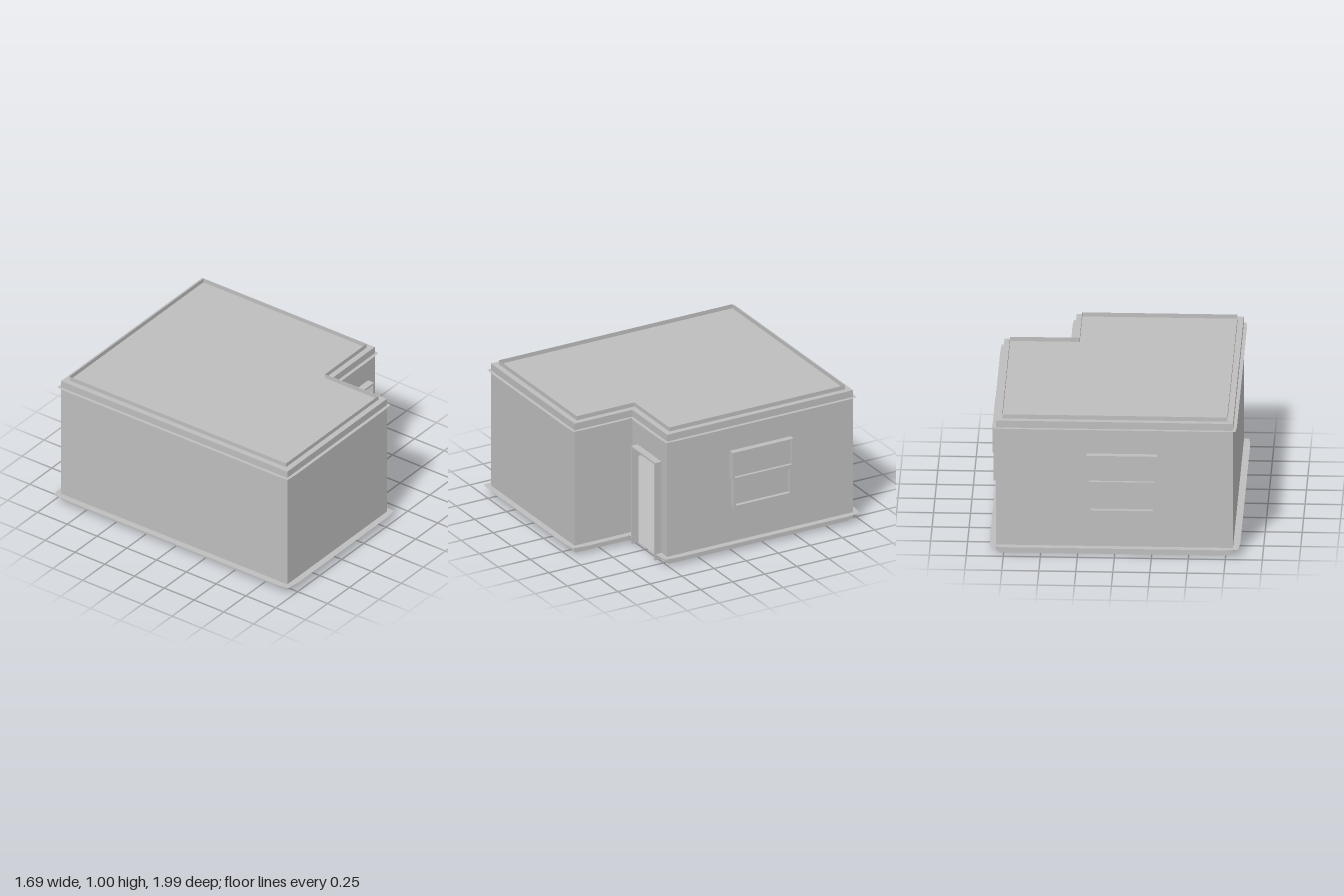
import * as THREE from 'three';

const wallGrey = new THREE.MeshStandardMaterial({ color: 0xbebebe, side: THREE.DoubleSide });
wallGrey.name = 'wallGrey';

const DOOR = { x0: 0.4, x1: 0.725, top: 0.73 };

// L-shaped footprint as [x, z] corners, grown (or shrunk) by d
const footprint = (d = 0) => [
  [0.8 + d, 0.5 + d], [0.8 + d, -0.95 - d], [-0.8 - d, -0.95 - d],
  [-0.8 - d, 0.95 + d], [0.33 + d, 0.95 + d], [0.33 + d, 0.5 + d],
];

function add(parent, name, geometry, x = 0, y = 0, z = 0) {
  const mesh = new THREE.Mesh(geometry, wallGrey);
  mesh.name = name;
  mesh.position.set(x, y, z);
  parent.add(mesh);
  return mesh;
}

const box = (parent, name, w, h, d, x, y, z) =>
  add(parent, name, new THREE.BoxGeometry(w, h, d), x, y, z);

// Upright sheet from a to b, facing the outside of the footprint
function sheet(parent, name, a, b, y0, y1) {
  const dx = b[0] - a[0], dz = b[1] - a[1];
  const mesh = add(parent, name, new THREE.PlaneGeometry(Math.hypot(dx, dz), y1 - y0),
    (a[0] + b[0]) / 2, (y0 + y1) / 2, (a[1] + b[1]) / 2);
  mesh.rotation.y = Math.atan2(-dz, dx);
}

function sheetLoop(parent, name, points, y0, y1) {
  points.forEach((p, i) => sheet(parent, name, p, points[(i + 1) % points.length], y0, y1));
}

// Level sheet from [x, z] points
function slab(parent, name, points, y, up) {
  const shape = new THREE.Shape(points.map(([x, z]) => new THREE.Vector2(x, up ? -z : z)));
  const geometry = new THREE.ShapeGeometry(shape);
  geometry.rotateX(up ? -Math.PI / 2 : Math.PI / 2);
  add(parent, name, geometry, 0, y, 0);
}

// Level ledge around the walls with clipped corners, running from x0 round to x1
function ledge(parent, name, d, y, x0, x1) {
  const path = [[x0, 0.5], ...footprint(), [x1, 0.5]];
  const outer = [];
  let last = null;
  for (let i = 0; i < path.length - 1; i++) {
    const [a, b] = [path[i], path[i + 1]];
    const len = Math.hypot(b[0] - a[0], b[1] - a[1]);
    const t = [(b[0] - a[0]) / len, (b[1] - a[1]) / len];
    const n = [-t[1], t[0]];
    const cut = Math.min(0.07, len * 0.4);
    const s0 = i === 0 ? 0 : cut;
    const s1 = i === path.length - 2 ? len : len - cut;
    if (last) outer.push([a[0] + (n[0] + last[0]) * d * 0.75, a[1] + (n[1] + last[1]) * d * 0.75]);
    for (const s of [s0, s1]) outer.push([a[0] + t[0] * s + n[0] * d, a[1] + t[1] * s + n[1] * d]);
    last = n;
  }
  slab(parent, name, [...outer, ...path.reverse()], y, true);
}

// Two-sash window facing +z, centred on its origin
function makeWindow(name) {
  const g = new THREE.Group();
  g.name = name;
  const bar = 0.016;
  const sash = (label, w, y0, y1, depth, pane) => {
    const h = y1 - y0, yc = (y0 + y1) / 2;
    for (const s of [-1, 1]) {
      box(g, label + 'Stile', bar, h, depth, s * (w - bar) / 2, yc, depth / 2);
      box(g, label + 'Rail', w - 2 * bar, bar, depth, 0, yc + s * (h - bar) / 2, depth / 2);
    }
    box(g, label + 'Pane', w - 2 * bar, h - 2 * bar, 0.006, 0, yc, pane);
  };
  sash('upperSash', 0.475, 0.005, 0.21, 0.043, 0.02);
  sash('lowerSash', 0.455, -0.205, 0.005, 0.038, 0.008);
  return g;
}

export function createModel() {
  const house = new THREE.Group();
  house.name = 'house';
  const plan = footprint();

  // Walls, with the doorway left open in the recessed one
  for (let i = 0; i < 5; i++) sheet(house, 'wall', plan[i], plan[i + 1], 0.02, 0.97);
  sheet(house, 'doorWallLeft', [0.33, 0.5], [DOOR.x0, 0.5], 0.02, 0.97);
  sheet(house, 'doorWallRight', [DOOR.x1, 0.5], [0.8, 0.5], 0.02, 0.97);
  sheet(house, 'doorWallTop', [DOOR.x0, 0.5], [DOOR.x1, 0.5], DOOR.top, 0.97);

  // Plinth, floor, roof and parapet
  const base = footprint(-0.02);
  sheetLoop(house, 'plinth', base, 0, 0.02);
  slab(house, 'underside', base, 0, false);
  slab(house, 'floor', plan, 0.02, true);
  slab(house, 'roof', plan, 0.97, true);
  sheetLoop(house, 'parapet', footprint(-0.04), 0.97, 1);

  // Thin ledges at foot and top of the walls
  ledge(house, 'baseLedge', 0.046, 0.065, DOOR.x1, DOOR.x0);
  ledge(house, 'cornice', 0.024, 0.92, 0.56, 0.559);

  // Door frame
  const t = 0.014;
  for (const x of [DOOR.x0 + t / 2, DOOR.x1 - t / 2]) box(house, 'doorJamb', t, 0.72, 0.05, x, 0.38, 0.525);
  box(house, 'doorHead', DOOR.x1 - DOOR.x0, t, 0.05, (DOOR.x0 + DOOR.x1) / 2, 0.735, 0.525);

  // Windows on the right and back walls
  const side = makeWindow('sideWindow');
  side.position.set(0.8, 0.53, -0.225);
  side.rotation.y = Math.PI / 2;
  const back = makeWindow('backWindow');
  back.position.set(-0.05, 0.53, -0.95);
  back.rotation.y = Math.PI;
  house.add(side, back);

  // Flared bin standing inside
  const bin = new THREE.CylinderGeometry(0.082, 0.065, 0.19, 8, 1, true).toNonIndexed();
  bin.computeVertexNormals();
  add(house, 'bin', bin, 0.643, 0.115, -0.8);

  return house;
}
